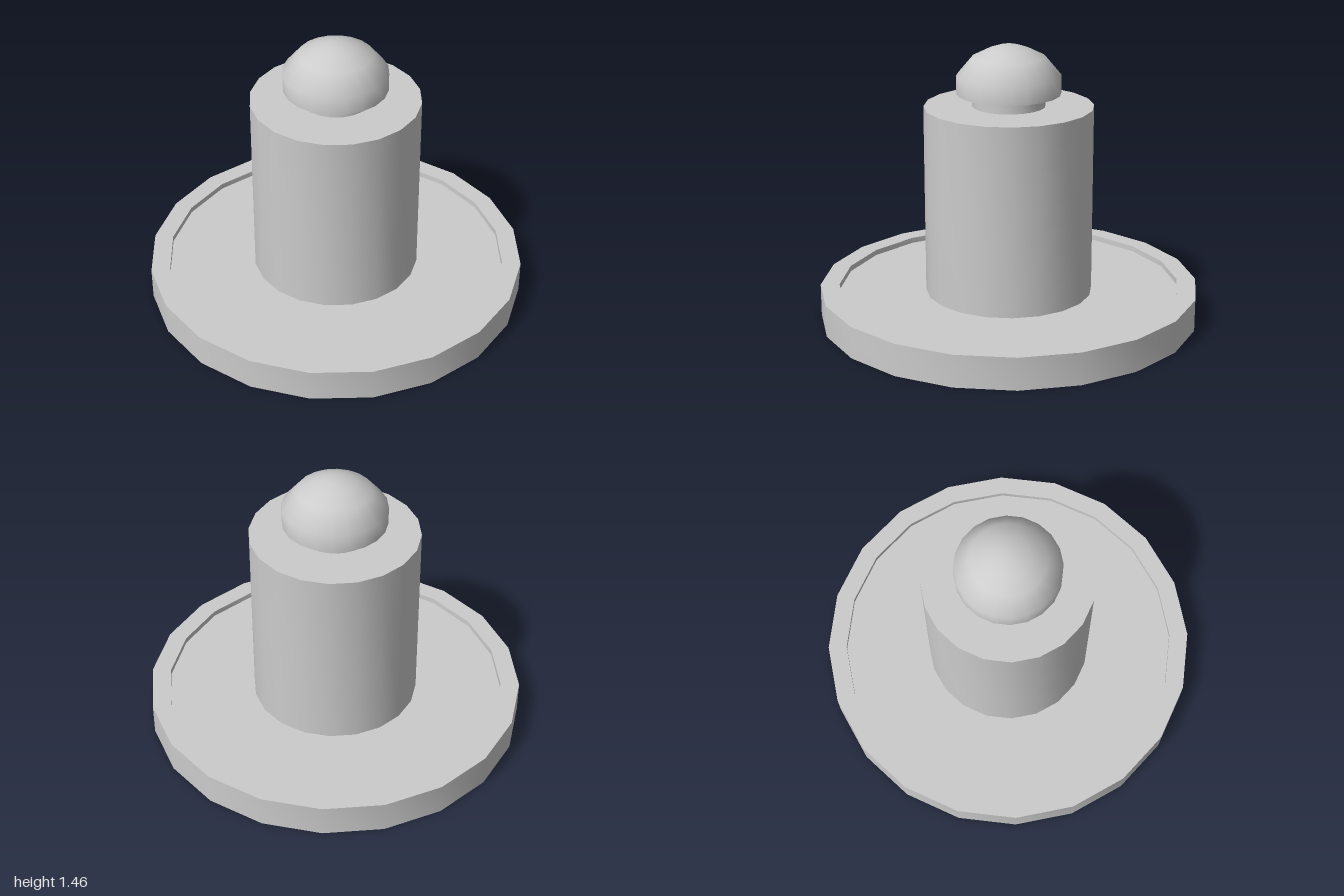
import * as THREE from 'three';
import { toCreasedNormals } from 'three/addons/utils/BufferGeometryUtils.js';

const SIDES = 20;

export function createModel() {
  const group = new THREE.Group();
  // thin open shells, visible from inside as well
  const material = new THREE.MeshStandardMaterial({ color: 0xcccccc, side: THREE.DoubleSide });

  // revolve a [radius, height] profile, smooth around and sharp at edges
  const turn = (name, profile) => {
    const points = profile.map(([r, y]) => new THREE.Vector2(r, y));
    const geometry = toCreasedNormals(new THREE.LatheGeometry(points, SIDES), 0.8);
    const mesh = new THREE.Mesh(geometry, material);
    mesh.name = name;
    group.add(mesh);
  };

  // base plate: outer wall, raised rim, shallow recessed floor, open below
  turn('base', [[1, 0], [1, 0.17], [0.9, 0.17], [0.9, 0.14], [0.44, 0.14]]);

  // hollow post with its top ring
  turn('post', [[0.44, 0.14], [0.44, 1.14], [0.19, 1.14]]);

  // short neck under the knob
  turn('neck', [[0.19, 1.14], [0.19, 1.205]]);

  // domed knob with a flat underside
  turn('knob', [
    [0.19, 1.205], [0.27, 1.205], [0.27, 1.3],
    [0.19, 1.395], [0.11, 1.435], [0.05, 1.455], [0, 1.457],
  ]);

  return group;
}
